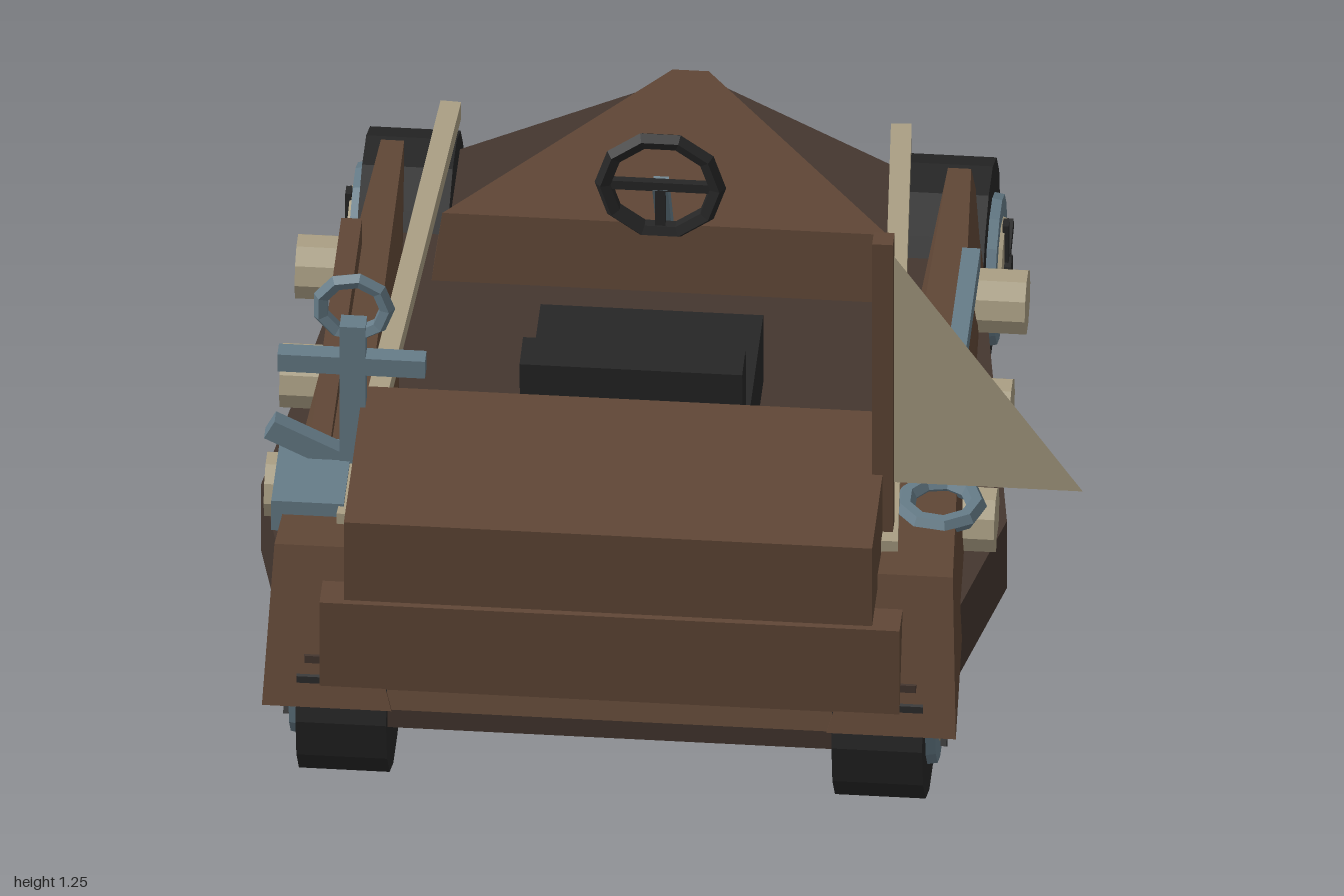
import * as THREE from 'three';
import { ConvexGeometry } from 'three/addons/geometries/ConvexGeometry.js';

export function createModel() {
  const root = new THREE.Group();
  const kart = new THREE.Group();
  kart.name = 'shipKart';
  kart.position.x = -0.09; // the flag makes the outline lopsided
  root.add(kart);

  const mat = (name, color, side = THREE.FrontSide) => {
    const m = new THREE.MeshStandardMaterial({ color, flatShading: true, side });
    m.name = name;
    return m;
  };
  const wood = mat('wood', 0x604736);
  const darkWood = mat('dark wood', 0x44362f);
  const rubber = mat('black', 0x262626);
  const steel = mat('blue steel', 0x667c88);
  const cream = mat('cream', 0xaa9f84);
  const cloth = mat('sail cloth', 0xa89d82, THREE.DoubleSide);

  const add = (name, geometry, material, parent = kart) => {
    const m = new THREE.Mesh(geometry, material);
    m.name = name;
    parent.add(m);
    return m;
  };
  // box given by its limits on each axis
  const box = (name, material, [x0, x1], [y0, y1], [z0, z1], parent = kart) => {
    const m = add(name, new THREE.BoxGeometry(x1 - x0, y1 - y0, z1 - z0), material, parent);
    m.position.set((x0 + x1) / 2, (y0 + y1) / 2, (z0 + z1) / 2);
    return m;
  };
  // straight square bar between two points
  const bar = (name, material, a, b, w, h = w, parent = kart) => {
    const p = new THREE.Vector3(...a), q = new THREE.Vector3(...b);
    const m = add(name, new THREE.BoxGeometry(w, h, p.distanceTo(q)), material, parent);
    m.position.copy(p).add(q).multiplyScalar(0.5);
    m.lookAt(q.add(kart.position)); // parents are only shifted
    return m;
  };
  const convex = (name, material, pts) =>
    add(name, new ConvexGeometry(pts.map(p => new THREE.Vector3(...p))), material);
  const mirrorPts = pts => pts.flatMap(([x, y, z]) => [[x, y, z], [-x, y, z]]);

  // lower hull, pointed at the bow
  const plan = [[0.575, -0.62], [0.72, 0.4], [0.59, 0.95]];
  const hullPts = [[0, 0.19, -1], [0, 0.35, -1]];
  for (const y of [0.19, 0.35]) hullPts.push(...mirrorPts(plan.map(([x, z]) => [x, y, z])));
  convex('lowerHull', darkWood, hullPts);

  // wedge-shaped foredeck
  convex('foredeck', wood, mirrorPts([
    [0.035, 0.43, -0.9], [0.04, 0.34, -0.925],
    [0.43, 0.495, -0.31], [0.45, 0.34, -0.285], [0.45, 0.34, -0.38]]));

  // stern board, slanted transom and storage chest
  convex('transom', wood, mirrorPts([
    [0.45, 0.25, 0.975], [0.45, 0.25, 0.93], [0.45, 0.47, 0.9], [0.45, 0.47, 0.85]]));
  box('sternBoard', wood, [-0.56, 0.56], [0.29, 0.49], [0.88, 0.965]);
  box('sternChest', wood, [-0.51, 0.51], [0.525, 0.71], [0.555, 1]);

  // wheel with rim, cover, hub and five spokes; outer side faces +x
  function makeWheel(name) {
    const g = new THREE.Group();
    g.name = name;
    const disc = (part, material, r0, r1, x0, x1, n) => {
      const geo = new THREE.CylinderGeometry(r1, r0, x1 - x0, n).rotateZ(-Math.PI / 2);
      add(part, geo, material, g).position.x = (x0 + x1) / 2;
    };
    disc('tire', rubber, 0.215, 0.215, -0.0875, 0.0875, 14);
    disc('rim', steel, 0.15, 0.145, 0.08, 0.107, 14);
    disc('wheelCover', cream, 0.105, 0.1, 0.1, 0.115, 12);
    disc('hub', rubber, 0.035, 0.03, 0.1, 0.128, 8);
    for (let i = 0; i < 5; i++) {
      const spoke = add('spoke', new THREE.BoxGeometry(0.012, 0.105, 0.026).translate(0, 0.06, 0), rubber, g);
      spoke.position.x = 0.117;
      spoke.rotation.x = (i * Math.PI * 2) / 5;
    }
    return g;
  }

  for (const s of [1, -1]) {
    const side = s > 0 ? 'left' : 'right';
    // flared side wall
    convex(side + 'SideWall', wood, [
      [0.67, 0.25, 0.98], [0.42, 0.25, 0.98], [0.655, 0.555, 0.87], [0.51, 0.555, 0.87],
      [0.6, 0.32, -0.56], [0.525, 0.32, -0.56], [0.57, 0.475, -0.565], [0.525, 0.475, -0.565],
    ].map(([x, y, z]) => [s * x, y, z]));
    // hand rail
    bar(side + 'Rail', cream, [s * 0.435, 0.555, -0.565], [s * 0.522, 0.555, 0.79], 0.04);
    // round shields
    for (const z of [-0.25, 0.105, 0.46]) {
      const shield = add(side + 'Shield', new THREE.CylinderGeometry(0.065, 0.065, 0.1, 10).rotateZ(Math.PI / 2), cream);
      shield.position.set(s * 0.655, 0.395, z);
    }
    for (const [part, z] of [['bowWheel', -0.597], ['sternWheel', 0.767]]) {
      const wheel = makeWheel(side + part);
      wheel.position.set(s * 0.5175, 0.215, z);
      if (s < 0) wheel.rotation.y = Math.PI;
      kart.add(wheel);
    }
  }

  // seat with a padded, tilted back
  box('seatCushion', rubber, [-0.215, 0.215], [0.35, 0.51], [-0.01, 0.46]);
  const back = new THREE.Group();
  back.name = 'seatBack';
  back.position.set(0, 0.49, 0.41);
  back.rotation.x = 0.08;
  kart.add(back);
  box('backFrame', rubber, [-0.215, 0.215], [-0.05, 0.235], [-0.035, 0.045], back);
  box('backPad', darkWood, [-0.16, 0.16], [0.03, 0.205], [-0.055, -0.03], back);

  // steering wheel and column
  const steering = new THREE.Group();
  steering.name = 'steeringWheel';
  steering.position.set(0, 0.665, -0.205);
  kart.add(steering);
  add('steeringRim', new THREE.TorusGeometry(0.11, 0.017, 5, 10), rubber, steering);
  for (let i = 0; i < 3; i++) {
    const spoke = add('steeringSpoke', new THREE.BoxGeometry(0.02, 0.11, 0.015).translate(0, 0.055, 0), rubber, steering);
    spoke.rotation.z = Math.PI / 2 + (i * Math.PI) / 2;
  }
  bar('steeringColumn', steel, [0, 0.665, -0.21], [0, 0.47, -0.325], 0.03);

  // mast and triangular sail
  box('mast', wood, [0.49, 0.53], [0.5, 1.26], [0.72, 0.76]);
  const sail = new THREE.Shape([[0.53, 0.68], [0.895, 0.68], [0.53, 1.22]].map(p => new THREE.Vector2(...p)));
  add('sail', new THREE.ShapeGeometry(sail), cloth).position.z = 0.74;

  // upright anchor
  box('anchorBase', steel, [-0.67, -0.53], [0.51, 0.58], [0.555, 0.765]);
  box('anchorShank', steel, [-0.55, -0.5], [0.56, 0.9], [0.585, 0.625]);
  box('anchorStock', steel, [-0.67, -0.385], [0.785, 0.825], [0.587, 0.623]);
  const fluke = add('anchorFluke', new THREE.BoxGeometry(0.17, 0.045, 0.035), steel);
  fluke.position.set(-0.61, 0.605, 0.605);
  fluke.rotation.z = -0.47;
  add('anchorRing', new THREE.TorusGeometry(0.065, 0.016, 5, 9), steel).position.set(-0.525, 0.935, 0.605);

  // bar with a ring lying on the left wall, wooden beam on the right wall
  box('ringBar', steel, [0.585, 0.62], [0.525, 0.57], [-0.18, 0.56]);
  const ring = add('lyingRing', new THREE.TorusGeometry(0.07, 0.02, 6, 9), steel);
  ring.position.set(0.61, 0.545, 0.62);
  ring.rotation.x = Math.PI / 2;
  box('sideBeam', wood, [-0.615, -0.575], [0.5, 0.56], [-0.19, 0.56]);

  return root;
}
